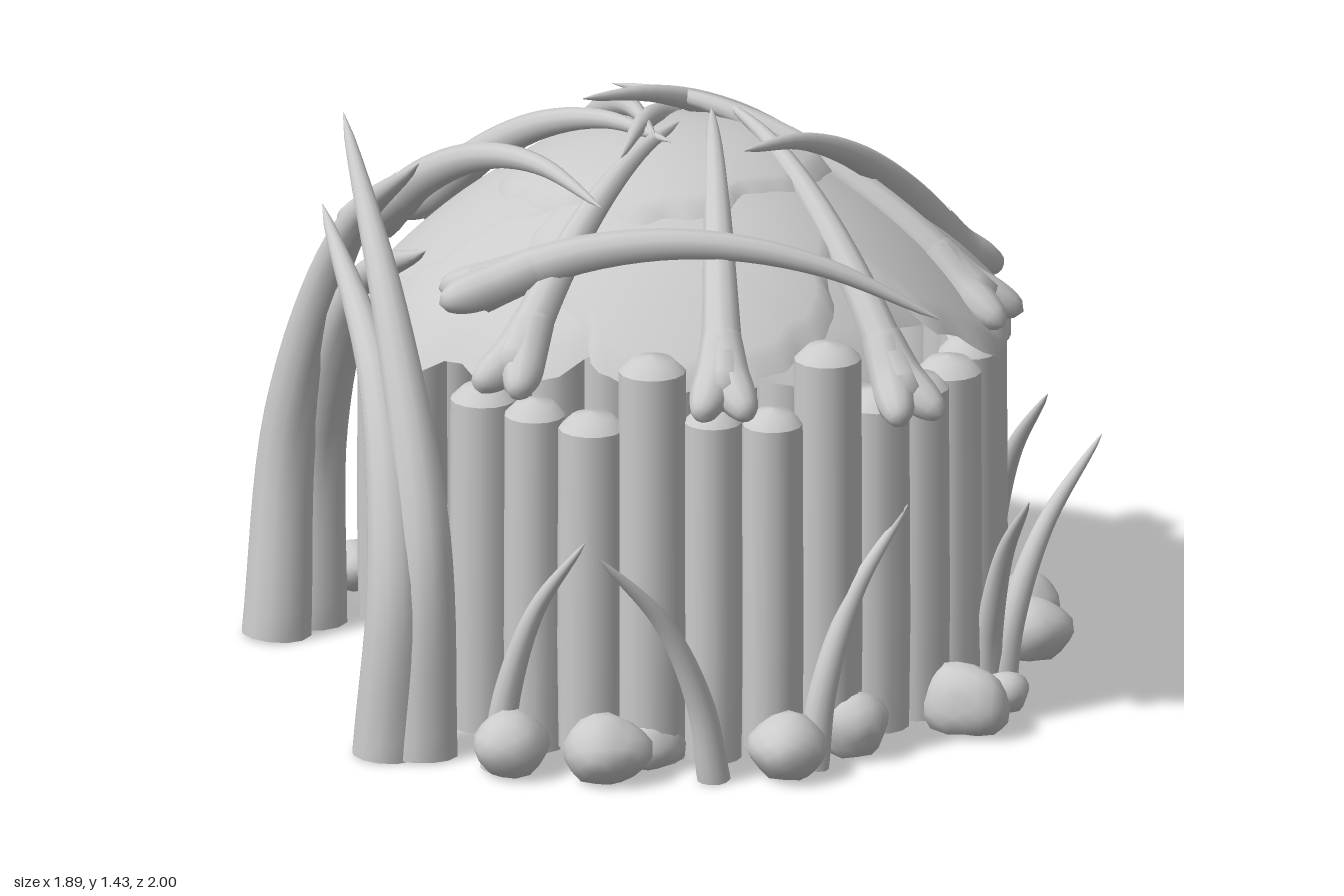
import * as THREE from 'three';
import { mergeVertices } from 'three/addons/utils/BufferGeometryUtils.js';

const mat = new THREE.MeshStandardMaterial({ color: 0xcccccc });
const openMat = new THREE.MeshStandardMaterial({ color: 0xcccccc, side: THREE.DoubleSide });
const V = (a) => new THREE.Vector3(...a);

// small seeded random
let seed = 7;
const rnd = () => (seed = (seed * 16807) % 2147483647) / 2147483647;

function mesh(name, geo, parent, material = mat) {
  const m = new THREE.Mesh(geo, material);
  m.name = name;
  parent.add(m);
  return m;
}

function smooth(geo) {
  geo.deleteAttribute('normal');
  geo.deleteAttribute('uv');
  const g = mergeVertices(geo, 1e-4);
  g.computeVertexNormals();
  return g;
}

// tube along points whose radius follows radius(u), cut off at the ground
function taperedTube(points, radius, n = 20, sides = 10) {
  const curve = new THREE.CatmullRomCurve3(points.map(V));
  const geo = new THREE.TubeGeometry(curve, n, 1, sides, false);
  const p = geo.attributes.position;
  const v = new THREE.Vector3();
  for (let i = 0; i <= n; i++) {
    const c = curve.getPointAt(i / n);
    for (let j = 0; j <= sides; j++) {
      const k = i * (sides + 1) + j;
      v.fromBufferAttribute(p, k).sub(c).multiplyScalar(radius(i / n)).add(c);
      p.setXYZ(k, v.x, Math.max(v.y, 0.005), v.z);
    }
  }
  return smooth(geo);
}

// open-based tusk tapering to a point
const tusk = (name, points, r, parent) =>
  mesh(name, taperedTube(points, (u) => r * Math.pow(1 - u, 0.62) + 0.001, 24, 12), parent, openMat);

// long bone: forked knuckle at the head, arched shaft, pointed tip
function bone(head, tip, bulge, parent) {
  const g = new THREE.Group();
  g.name = 'roofBone';
  const h = V(head), t = V(tip);
  const at = (u) => h.clone().lerp(t, u).add(new THREE.Vector3(0, bulge * 4 * u * (1 - u), 0));
  const shaft = (u) => (u === 0 ? 0 : 0.052 * Math.pow(1 - u, 0.6) + 0.012 * Math.exp(-u * 10) + 0.001);
  mesh('shaft', taperedTube([0, 0.25, 0.5, 0.75, 1].map((u) => at(u).toArray()), shaft, 24), g);
  const dir = t.clone().sub(h).setY(0).normalize();
  const side = new THREE.Vector3(-dir.z, 0, dir.x);
  const knob = (u) => 0.05 * Math.sqrt(Math.max(0, 1 - Math.pow(Math.max(0, (u - 0.55) / 0.45), 2)));
  for (const s of [-1, 1]) {
    const end = h.clone().addScaledVector(side, s * 0.058).addScaledVector(dir, -0.05);
    const mid = at(0.06).addScaledVector(side, s * 0.022);
    mesh('knuckle', taperedTube([at(0.16), mid, end].map((p) => p.toArray()), knob, 18), g);
  }
  parent.add(g);
}

// roof height at distance r from the axis
const roofY = (r) => 1.32 - 0.46 * (r / 0.8) ** 2;

// ragged sheet of hide draped over the roof and down past the eaves
function hide(name, cx, cz, radius, lift, phase, parent) {
  const rings = 16, segs = 84, pos = [], idx = [];
  for (let i = 0; i <= rings; i++) {
    for (let j = 0; j < segs; j++) {
      const a = (j / segs) * Math.PI * 2;
      const ragged = 1 + 0.04 * Math.sin(5 * a + phase) + 0.03 * Math.sin(11 * a + 2 * phase) + 0.015 * Math.sin(23 * a);
      const r = (i / rings) * radius * ragged;
      let x = cx + r * Math.cos(a), z = cz + r * Math.sin(a);
      const d = Math.hypot(x, z), max = 0.79;
      const over = Math.max(0, d - max);
      if (over) { x *= max / d; z *= max / d; }
      const edge = i === rings ? -0.02 : 0;
      pos.push(x, roofY(Math.min(d, max)) + lift + edge - over * 0.7 + 0.008 * Math.sin(7 * x + phase) * Math.cos(6 * z), z);
      if (i < rings) {
        const b = i * segs + j, c = i * segs + (j + 1) % segs;
        idx.push(b, c, b + segs, c, c + segs, b + segs);
      }
    }
  }
  const geo = new THREE.BufferGeometry();
  geo.setAttribute('position', new THREE.Float32BufferAttribute(pos, 3));
  geo.setIndex(idx);
  geo.computeVertexNormals();
  mesh(name, geo, parent, openMat);
}

export function createModel() {
  const model = new THREE.Group();
  model.name = 'boneHut';

  // ring of upright logs, open towards -x, two of them taller at the front
  const wall = new THREE.Group();
  wall.name = 'logWall';
  model.add(wall);
  for (let i = -19; i <= 6; i++) {
    const a = 1.33 + i * 0.2;
    const tall = i === 0 || i === 3;
    const r = tall ? 0.083 : 0.07 + rnd() * 0.013;
    const top = tall ? 0.99 : 0.83 + rnd() * 0.04;
    const base = 0.02 + rnd() * 0.03;
    const profile = [[0, base], [r * 0.96, base], [r * 0.96, base], [r, 0.3], [r * 0.97, top], [r * 0.97, top], [r * 0.6, top + 0.03], [0, top + 0.04]];
    const log = mesh('log', new THREE.LatheGeometry(profile.map((p) => new THREE.Vector2(...p)), 14), wall);
    log.position.set(-0.02 + 0.725 * Math.cos(a), 0, 0.755 * Math.sin(a));
    log.rotation.y = rnd() * 6;
  }

  // overlapping hides
  const roof = new THREE.Group();
  roof.name = 'hideRoof';
  model.add(roof);
  hide('baseHide', 0, -0.03, 0.74, 0, 0.4, roof);
  hide('rightHide', 0.42, 0.08, 0.43, 0.012, 2, roof);
  hide('backHide', 0.16, -0.44, 0.4, 0.02, 4, roof);
  hide('cornerHide', -0.32, -0.32, 0.44, 0.014, 1, roof);
  hide('frontHide', -0.08, 0.36, 0.36, 0.016, 3, roof);
  hide('topHide', -0.03, -0.03, 0.38, 0.03, 5, roof);

  // bones leaning over the roof: head, tip, bulge
  const bones = [
    [[-0.43, 0.95, -0.72], [-0.06, 1.36, 0.14], 0.13],
    [[-0.03, 0.93, -0.86], [-0.09, 1.37, 0.1], 0.13],
    [[0.28, 0.91, -0.68], [-0.21, 1.36, 0.22], 0.16],
    [[0.61, 0.91, -0.44], [-0.23, 1.43, -0.03], 0.12],
    [[0.76, 0.88, -0.13], [0.03, 1.43, 0.45], 0.13],
    [[0.68, 0.92, 0.35], [-0.08, 1.37, -0.29], 0.13],
    [[0.35, 0.84, 0.77], [0.15, 1.36, -0.12], 0.12],
    [[-0.14, 0.92, 0.85], [0.11, 1.35, -0.1], 0.11],
    [[-0.65, 1.1, 0.36], [0.45, 1.04, 0.68], 0.16],
    [[-0.59, 0.97, -0.59], [-0.3, 1.29, 0.36], 0.15],
    [[-0.6, 0.94, 0.58], [0, 1.36, 0], 0.11],
  ];
  bones.forEach((b) => bone(...b, model));

  // big tusks framing the entrance, two from each side
  const gate = [
    [[-0.86, 0.005, 0.46], [-0.84, 0.45, 0.46], [-0.82, 0.86, 0.25], [-0.82, 1.16, -0.22]],
    [[-0.78, 0.005, 0.49], [-0.77, 0.55, 0.46], [-0.78, 1.02, 0.22], [-0.78, 1.4, -0.18]],
    [[-0.86, 0.005, -0.47], [-0.82, 0.55, -0.48], [-0.75, 1.05, -0.27], [-0.69, 1.37, 0.15]],
    [[-0.75, 0.005, -0.54], [-0.74, 0.5, -0.51], [-0.72, 0.92, -0.26], [-0.7, 1.18, 0.24]],
  ];
  gate.forEach((p) => tusk('entranceTusk', p, 0.084, model));

  // small tusks around the foot: base x z, tip x z
  const small = [
    [-0.17, 0.87, -0.47, 0.92], [0.08, 0.85, 0.35, 0.74], [-0.64, 0.64, -0.47, 0.8],
    [0.64, 0.52, 0.94, 0.37], [0.61, 0.5, 0.63, 0.81], [0.82, -0.21, 0.9, 0.05],
    [0.64, -0.5, 0.55, -0.73], [0.12, -0.84, -0.07, -1.0], [-0.55, -0.68, -0.43, -0.97],
  ];
  for (const [x, z, tx, tz] of small) {
    const mix = (u, y) => [x + (tx - x) * u, y, z + (tz - z) * u];
    tusk('groundTusk', [mix(0, 0.005), mix(0.12, 0.2), mix(0.45, 0.42), mix(1, 0.605)], 0.04, model);
  }

  // stones around the foot: x, z, radius
  const stones = [
    [-0.76, -0.65, 0.1], [-0.6, -0.73, 0.07], [-0.42, -0.82, 0.085], [-0.15, -0.79, 0.05],
    [0.28, -0.85, 0.1], [0.68, -0.55, 0.08], [0.78, -0.37, 0.09], [0.86, 0, 0.085],
    [0.82, 0.22, 0.09], [0.64, 0.57, 0.06], [0.51, 0.7, 0.1], [0.2, 0.76, 0.095],
    [0, 0.9, 0.095], [-0.28, 0.74, 0.08], [-0.41, 0.8, 0.1], [-0.62, 0.68, 0.095],
  ];
  for (const [x, z, r] of stones) {
    const geo = smooth(new THREE.IcosahedronGeometry(1, 2));
    const p = geo.attributes.position, ph = rnd() * 6;
    for (let i = 0; i < p.count; i++) {
      const px = p.getX(i), py = p.getY(i), pz = p.getZ(i);
      const k = 1 + 0.09 * Math.sin(3 * px + ph) + 0.08 * Math.sin(3 * pz + 2 * ph) + 0.06 * Math.sin(4 * py + ph);
      p.setXYZ(i, px * k, Math.max(py * k, -0.8), pz * k);
    }
    geo.computeVertexNormals();
    const s = mesh('stone', geo, model);
    s.scale.set(r, r * 0.88, r * 0.95);
    s.position.set(x, 0.01 + r * 0.7, z);
    s.rotation.y = rnd() * 6;
  }
  return model;
}
